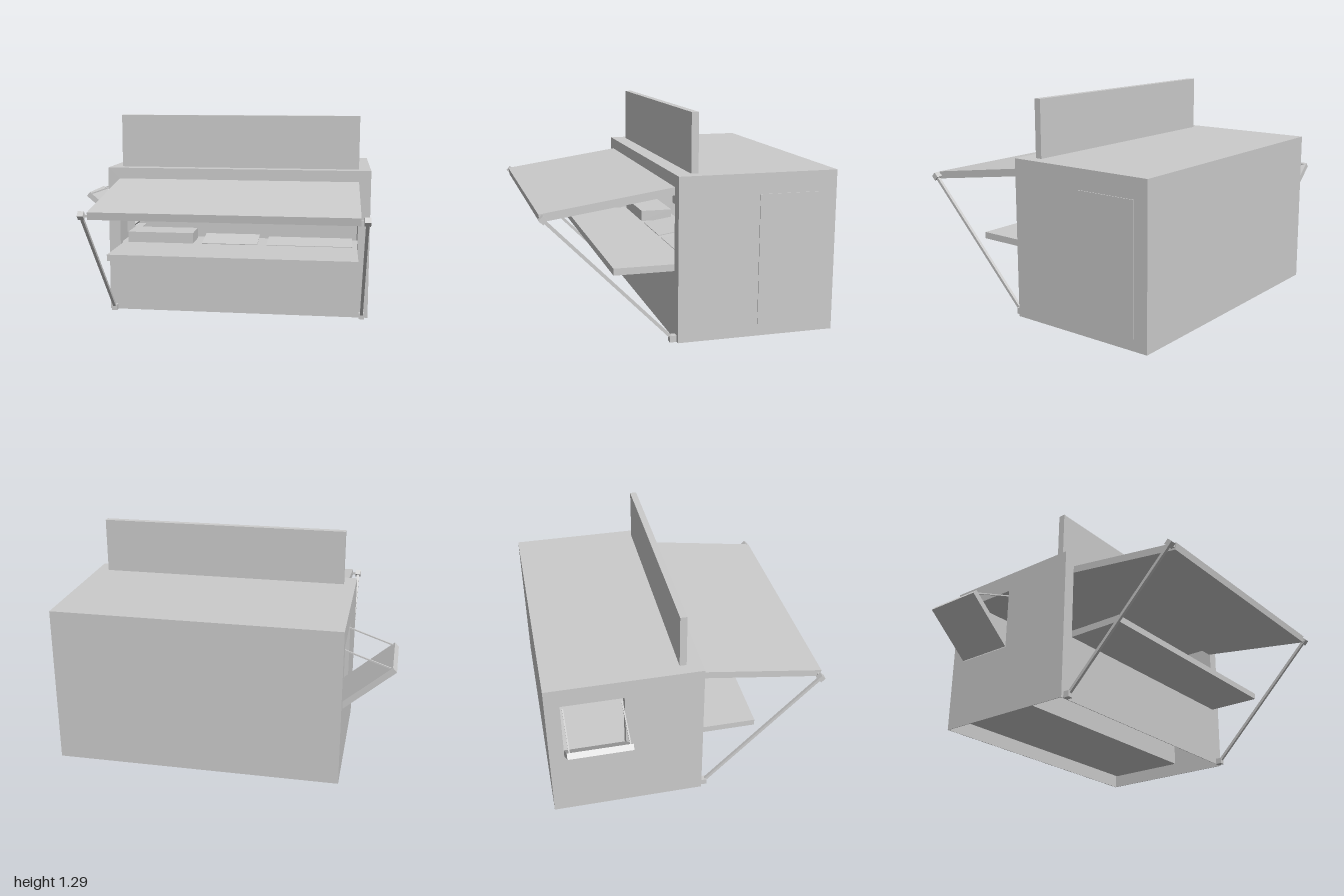
import * as THREE from 'three';

const material = new THREE.MeshStandardMaterial({ color: 0xcccccc, flatShading: true, side: THREE.DoubleSide });

// Main extents of the stall and its openings
const L = -0.705, R = 0.995, TOP = 0.95, BACK = -0.85, FRONT = 0.09;
const hatch = { a: -0.63, b: 0.92, y0: 0.44, y1: 0.88 };
const side = { a: -0.76, b: -0.385, y0: 0.44, y1: 0.83 };
const SKIN = 0.004, WALL = 0.06;

export function createModel() {
  const model = new THREE.Group();

  function add(name, geometry) {
    const mesh = new THREE.Mesh(geometry, material);
    mesh.name = name;
    model.add(mesh);
    return mesh;
  }

  // Axis-aligned block given by its ranges
  function block(name, x0, x1, y0, y1, z0, z1) {
    const mesh = add(name, new THREE.BoxGeometry(x1 - x0, y1 - y0, z1 - z0));
    mesh.position.set((x0 + x1) / 2, (y0 + y1) / 2, (z0 + z1) / 2);
    return mesh;
  }

  // Rectangular bar or panel running from one point to another
  function beam(name, from, to, width, depth) {
    const a = new THREE.Vector3(...from), b = new THREE.Vector3(...to);
    const mesh = add(name, new THREE.BoxGeometry(width, a.distanceTo(b), depth));
    mesh.position.copy(a).add(b).multiplyScalar(0.5);
    mesh.quaternion.setFromUnitVectors(new THREE.Vector3(0, 1, 0), b.sub(a).normalize());
    return mesh;
  }

  // Thin wall with one rectangular opening
  function openWall(u0, u1, o) {
    const shape = new THREE.Shape();
    shape.moveTo(u0, 0).lineTo(u1, 0).lineTo(u1, TOP).lineTo(u0, TOP).closePath();
    const hole = new THREE.Path();
    hole.moveTo(o.a, o.y0).lineTo(o.a, o.y1).lineTo(o.b, o.y1).lineTo(o.b, o.y0).closePath();
    shape.holes.push(hole);
    return new THREE.ExtrudeGeometry(shape, { depth: SKIN, bevelEnabled: false });
  }

  // Outer shell, open underneath
  add('frontWall', openWall(L, R, hatch)).position.z = FRONT - SKIN;
  const sideWall = add('windowWall', openWall(BACK, FRONT, side));
  sideWall.rotation.y = -Math.PI / 2;
  sideWall.position.x = L + SKIN;
  block('backWall', L, R, 0, TOP, BACK, BACK + SKIN);
  block('doorWall', R - SKIN, R, 0, TOP, BACK, FRONT);
  block('roof', L, R, TOP - SKIN, TOP, BACK, FRONT);

  // Reveals giving the two openings their wall thickness
  const zIn = FRONT - WALL, xIn = L + WALL;
  block('hatchRevealTop', hatch.a, hatch.b, hatch.y1, hatch.y1 + SKIN, zIn, FRONT - 0.001);
  for (const x of [hatch.a - SKIN, hatch.b])
    block('hatchRevealSide', x, x + SKIN, hatch.y0, hatch.y1, zIn, FRONT - 0.001);
  for (const y of [side.y0 - SKIN, side.y1])
    block('windowRevealEdge', L + 0.001, xIn, y, y + SKIN, side.a, side.b);
  for (const z of [side.a - SKIN, side.b])
    block('windowRevealSide', L + 0.001, xIn, side.y0, side.y1, z, z + SKIN);

  // Inner room: floor, linings, and the step up to the worktop
  const xEnd = R - WALL, zBack = BACK + WALL, zStep = -0.26, floor = 0.065, ceiling = 0.89;
  block('floor', xIn, xEnd, floor, floor + SKIN, zBack, zStep);
  block('backLining', xIn, xEnd, floor, ceiling, zBack - SKIN, zBack);
  block('doorLining', xEnd, xEnd + SKIN, floor, ceiling, zBack, zStep);
  block('ceiling', xIn, xEnd, ceiling, ceiling + SKIN, zBack, zIn);
  block('worktopFront', xIn, xEnd, floor, 0.4, zStep, zStep + SKIN);
  block('worktop', xIn, xEnd, 0.4, 0.44, zStep, zIn);

  // Equipment standing on the worktop
  block('servingBox', -0.6, -0.16, 0.44, 0.51, -0.21, 0);
  beam('slopedTray', [0.085, 0.442, 0], [0.085, 0.473, -0.21], 0.37, 0.005);
  beam('lowTray', [0.61, 0.441, 0], [0.61, 0.46, -0.21], 0.56, 0.005);

  // Serving counter, sign board and door panel
  block('counter', hatch.a, hatch.b, 0.4, 0.44, zIn, 0.44);
  block('signBoard', hatch.a, hatch.b, TOP, 1.29, -0.045, -0.003);
  block('door', R, R + 0.005, 0.07, 0.83, side.a, side.b);

  // Raised awning with a strut at each end
  beam('awning', [0.145, 0.857, 0.085], [0.145, 0.746, 0.842], hatch.b - hatch.a, 0.045);
  for (const [x, inward] of [[-0.67, 1], [0.955, -1]]) {
    block('strutFoot', x - 0.018, x + 0.018, 0, 0.038, FRONT, 0.13);
    beam('strut', [x, 0.02, 0.112], [x, 0.745, 0.828], 0.018, 0.018);
    const joint = block('strutJoint', x - 0.018, x + 0.018, 0.728, 0.764, 0.81, 0.846);
    joint.rotation.x = Math.PI / 4;
    beam('strutPin', [x, 0.745, 0.828], [x + inward * 0.05, 0.745, 0.828], 0.014, 0.014);
  }

  // Side window flap, folded outwards and held by two thin stays
  const mid = (side.a + side.b) / 2;
  beam('windowFlap', [-0.695, 0.457, mid], [-0.986, 0.708, mid], 0.036, side.b - side.a);
  for (const z of [side.a + 0.015, side.b - 0.015])
    beam('flapStay', [-0.97, 0.708, z], [L + 0.01, 0.803, z], 0.008, 0.008);

  return model;
}
